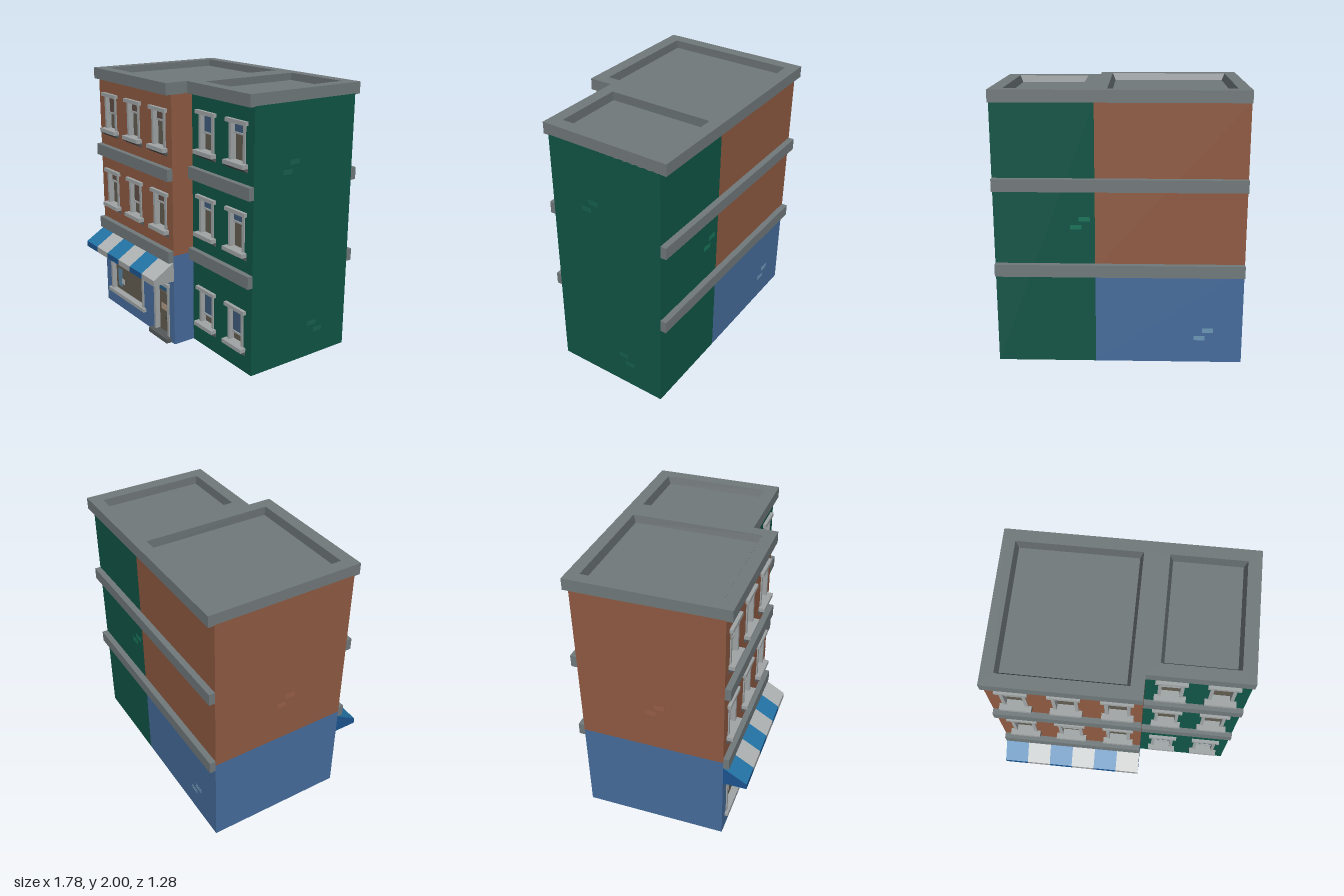
import * as THREE from 'three';

const mats = {};
function mat(color) {
  return (mats[color] ??= new THREE.MeshStandardMaterial({ color, side: THREE.DoubleSide, flatShading: true }));
}
const GREEN = 0x115546, BROWN = 0x8f5a42, BLUE = 0x466c9c, STONE = 0x71797b, TRIM = 0xa0a5a5;
const GLASS = 0x625d51, CURTAIN = 0x5f4c45, SKY = 0x3f5d7c, DARK = 0x55595a;
const X0 = -0.89, XM = 0.175, X1 = 0.89, ZL = 0.465, ZR = 0.29, ZB = -0.6, SPLIT = 0.72, TOP = 1.92;

function add(parent, name, geo, color) {
  const m = new THREE.Mesh(geo, mat(color));
  m.name = name;
  parent.add(m);
  return m;
}
// box given by its minimum and maximum on each axis
function box(parent, name, color, xa, xb, ya, yb, za, zb) {
  const g = new THREE.BoxGeometry(xb - xa, yb - ya, zb - za);
  return add(parent, name, g.translate((xa + xb) / 2, (ya + yb) / 2, (za + zb) / 2), color);
}
// flat four-cornered panel, corners counter-clockwise from its front
function quad(parent, name, color, a, b, c, d) {
  const g = new THREE.BufferGeometry();
  g.setAttribute('position', new THREE.Float32BufferAttribute([a, b, c, a, c, d].flat(), 3));
  g.computeVertexNormals();
  return add(parent, name, g, color);
}
function polygon(points, T = THREE.Shape) {
  return new T(points.map(([x, y]) => new THREE.Vector2(x, y)));
}
const rect = (xa, xb, ya, yb) => [[xa, ya], [xb, ya], [xb, yb], [xa, yb]];

// front wall with openings
function frontWall(parent, name, color, outline, holes, z) {
  const s = polygon(rect(...outline));
  s.holes = holes.map((h) => polygon(rect(...h), THREE.Path));
  add(parent, name, new THREE.ShapeGeometry(s).translate(0, 0, z), color);
}
const hole = ([cx, y]) => [cx - 0.09, cx + 0.09, y + 0.03, y + 0.34];

// profile given in (z, y), swept along x
function sweepX(parent, name, color, profile, xa, xb) {
  const g = new THREE.ExtrudeGeometry(polygon(profile), { depth: xb - xa, bevelEnabled: false });
  add(parent, name, g.rotateY(-Math.PI / 2).translate(xb, 0, 0), color);
}

// sash window; origin at bottom centre on the wall plane
function sashWindow(parent, [cx, y, rail], z, upperColor) {
  const g = new THREE.Group();
  g.name = 'sashWindow';
  g.position.set(cx, y, z);
  box(g, 'lintel', TRIM, -0.1125, 0.1125, 0.317, 0.345, -0.05, 0.025);
  box(g, 'sill', TRIM, -0.1125, 0.1125, 0.03, 0.06, -0.05, 0.045);
  sweepX(g, 'sillBracket', DARK, [[0, 0], [0.045, 0.03], [0, 0.03]], -0.1125, 0.1125);
  for (const s of [-1, 1]) {
    const xs = [s * 0.065, s * 0.09].sort((p, q) => p - q);
    box(g, 'jamb', TRIM, xs[0], xs[1], 0.06, 0.317, -0.05, 0.008);
  }
  box(g, 'upperPane', upperColor, -0.065, 0.065, rail, 0.317, -0.035, -0.025);
  box(g, 'lowerPane', GLASS, -0.065, 0.065, 0.06, rail, -0.045, -0.035);
  box(g, 'meetingRail', TRIM, -0.065, 0.065, rail - 0.006, rail + 0.006, -0.045, -0.015);
  parent.add(g);
}

function shopWindow(parent) {
  const g = new THREE.Group();
  g.name = 'shopWindow';
  g.position.z = ZL;
  box(g, 'lintel', TRIM, -0.825, -0.245, 0.447, 0.475, -0.05, 0.025);
  box(g, 'sill', TRIM, -0.825, -0.245, 0.11, 0.14, -0.05, 0.025);
  box(g, 'jamb', TRIM, -0.8, -0.775, 0.14, 0.447, -0.05, 0.008);
  box(g, 'jamb', TRIM, -0.295, -0.27, 0.14, 0.447, -0.05, 0.008);
  box(g, 'pane', GLASS, -0.775, -0.295, 0.14, 0.447, -0.04, -0.03);
  const papers = [[-0.71, 0.383, 0.08, 0.055, 0.08, 0x9aa0a2], [-0.705, 0.25, 0.07, 0.16, 0, 0x5a86a8],
    [-0.658, 0.226, 0.048, 0.05, -0.08, 0xb4b8ba]];
  papers.forEach(([x, y, w, h, tilt, c], i) => {
    const p = add(g, 'paperNotice', new THREE.PlaneGeometry(w, h), c);
    p.position.set(x, y, -0.028 + i * 0.001);
    p.rotation.z = tilt;
  });
  parent.add(g);
}

function shopDoor(parent) {
  const g = new THREE.Group();
  g.name = 'shopDoor';
  g.position.z = ZL;
  box(g, 'lintel', TRIM, -0.13, 0.12, 0.447, 0.475, -0.05, 0.025);
  box(g, 'step', DARK, -0.135, 0.13, 0, 0.035, -0.05, 0.045);
  box(g, 'jamb', TRIM, -0.108, -0.083, 0.035, 0.447, -0.05, 0.008);
  box(g, 'jamb', TRIM, 0.083, 0.108, 0.035, 0.447, -0.05, 0.008);
  box(g, 'transomPane', 0x1f5f8e, -0.083, 0.083, 0.375, 0.447, -0.04, -0.03);
  box(g, 'doorFrame', DARK, -0.083, 0.083, 0.035, 0.375, -0.045, -0.032);
  box(g, 'doorLeaf', GLASS, -0.073, 0.073, 0.035, 0.362, -0.04, -0.026);
  box(g, 'doorSign', 0xb09a86, -0.045, 0.04, 0.215, 0.265, -0.026, -0.023);
  add(g, 'doorKnob', new THREE.SphereGeometry(0.012, 10, 8).translate(0.04, 0.165, -0.018), 0x2a2a2a);
  parent.add(g);
}

// striped canopy with a hanging front edge and closed ends
function awning(parent) {
  const g = new THREE.Group();
  g.name = 'awning';
  const w = (XM - X0) / 6, zf = 0.64;
  for (let i = 0; i < 6; i++) {
    const a = X0 + i * w, b = a + w, c = i % 2 ? 0xb0b3b3 : 0x2274a6;
    quad(g, 'awningStripe', c, [a, 0.565, zf], [b, 0.565, zf], [b, 0.67, ZL], [a, 0.67, ZL]);
    quad(g, 'awningValance', i % 2 ? 0xa0a3a3 : 0x1c5490, [a, 0.52, zf], [b, 0.52, zf], [b, 0.565, zf], [a, 0.565, zf]);
  }
  const end = polygon([[ZL, 0.52], [zf, 0.52], [zf, 0.565], [ZL, 0.67]]);
  for (const [x, c] of [[X0, 0x1c5490], [XM, 0xa0a3a3]])
    add(g, 'awningEnd', new THREE.ShapeGeometry(end).rotateY(-Math.PI / 2).translate(x, 0, 0), c);
  parent.add(g);
}

// L-shaped parapet slab with two sunken, slope-sided roof wells
function roof(parent) {
  const g = new THREE.Group();
  g.name = 'roof';
  const zb = -0.645, zl = 0.508, zr = 0.33;
  const wells = [[-0.8, 0.085, -0.555, 0.415], [0.265, 0.795, -0.555, 0.24]];
  const s = polygon([[X0, -zl], [XM, -zl], [XM, -zr], [X1, -zr], [X1, -zb], [X0, -zb]]);
  s.holes = wells.map(([a, b, c, d]) => polygon(rect(a, b, -d, -c), THREE.Path));
  const slab = new THREE.ExtrudeGeometry(s, { depth: 0.085, bevelEnabled: false });
  add(g, 'parapet', slab.rotateX(-Math.PI / 2).translate(0, 1.915, 0), STONE);
  for (const [a, b, c, d] of wells) {
    const t = 0.023, y = 1.95;
    const o = [[a, 2, d], [b, 2, d], [b, 2, c], [a, 2, c]];
    const n = [[a + t, y, d - t], [b - t, y, d - t], [b - t, y, c + t], [a + t, y, c + t]];
    quad(g, 'roofFloor', STONE, ...n);
    for (let i = 0; i < 4; i++) {
      const j = (i + 1) % 4;
      quad(g, 'roofWellSide', 0x596062, o[i], o[j], n[j], n[i]);
    }
  }
  parent.add(g);
}

export function createModel() {
  const model = new THREE.Group();
  model.name = 'cornerBuilding';

  // window lists: centre x, base y, meeting rail height
  const left = [[-0.71, 1.465, 0.185], [-0.355, 1.465, 0.245], [0.005, 1.465, 0.245],
    [-0.71, 0.845, 0.245], [-0.355, 0.845, 0.155], [0.005, 0.845, 0.245]];
  const right = [[0.355, 1.465, 0.185], [0.71, 1.465, 0.245], [0.355, 0.845, 0.245],
    [0.71, 0.845, 0.245], [0.355, 0.13, 0.125], [0.71, 0.13, 0.125]];
  left.forEach((w) => sashWindow(model, w, ZL, CURTAIN));
  right.forEach((w) => sashWindow(model, w, ZR, SKY));

  // front walls
  frontWall(model, 'upperFrontWall', BROWN, [X0, XM, SPLIT, TOP], left.map(hole), ZL);
  frontWall(model, 'shopFrontWall', BLUE, [X0, XM, 0, SPLIT],
    [[-0.8, -0.27, 0.12, 0.46], [-0.105, 0.105, 0.01, 0.46]], ZL);
  frontWall(model, 'sideHouseFrontWall', GREEN, [XM, X1, 0, TOP], right.map(hole), ZR);

  // remaining walls, the left house split by storey colour
  for (const [c, a, b] of [[BLUE, 0, SPLIT], [BROWN, SPLIT, TOP]]) {
    quad(model, 'leftWall', c, [X0, a, ZB], [X0, a, ZL], [X0, b, ZL], [X0, b, ZB]);
    quad(model, 'stepWall', c, [XM, a, ZL], [XM, a, ZR], [XM, b, ZR], [XM, b, ZL]);
    quad(model, 'backWall', c, [XM, a, ZB], [X0, a, ZB], [X0, b, ZB], [XM, b, ZB]);
  }
  quad(model, 'sideHouseBackWall', GREEN, [X1, 0, ZB], [XM, 0, ZB], [XM, TOP, ZB], [X1, TOP, ZB]);
  quad(model, 'rightWall', GREEN, [X1, 0, ZR], [X1, 0, ZB], [X1, TOP, ZB], [X1, TOP, ZR]);

  // stone bands between the storeys
  for (const [a, b] of [[0.67, 0.76], [1.295, 1.385]]) {
    box(model, 'frontBand', STONE, X0, XM, a, b, ZL, 0.508);
    box(model, 'sideHouseBand', STONE, XM, X1, a, b, ZR, 0.33);
    box(model, 'backBand', STONE, X0, X1, a, b, -0.645, ZB);
  }

  // exposed bricks, centre points on the side and back walls
  const e = 0.002, h = 0.017, w = 0.04;
  for (const [z, y] of [[-0.06, 1.51], [0, 1.445], [-0.27, 0.26], [-0.33, 0.197]])
    box(model, 'brick', 0x17604f, X1 - e, X1 + e, y - h, y + h, z - w, z + w);
  for (const [z, y] of [[0, 1.09], [-0.07, 1.03]])
    box(model, 'brick', 0x975f48, X0 - e, X0 + e, y - h, y + h, z - w, z + w);
  for (const [x, y, c] of [[0.25, 1.09, 0x177358], [0.31, 1.03, 0x177358], [-0.64, 0.25, 0x6a96b4], [-0.58, 0.19, 0x6a96b4]])
    box(model, 'brick', c, x - w, x + w, y - h, y + h, ZB - e, ZB + e);

  shopWindow(model);
  shopDoor(model);
  awning(model);
  roof(model);
  return model;
}
